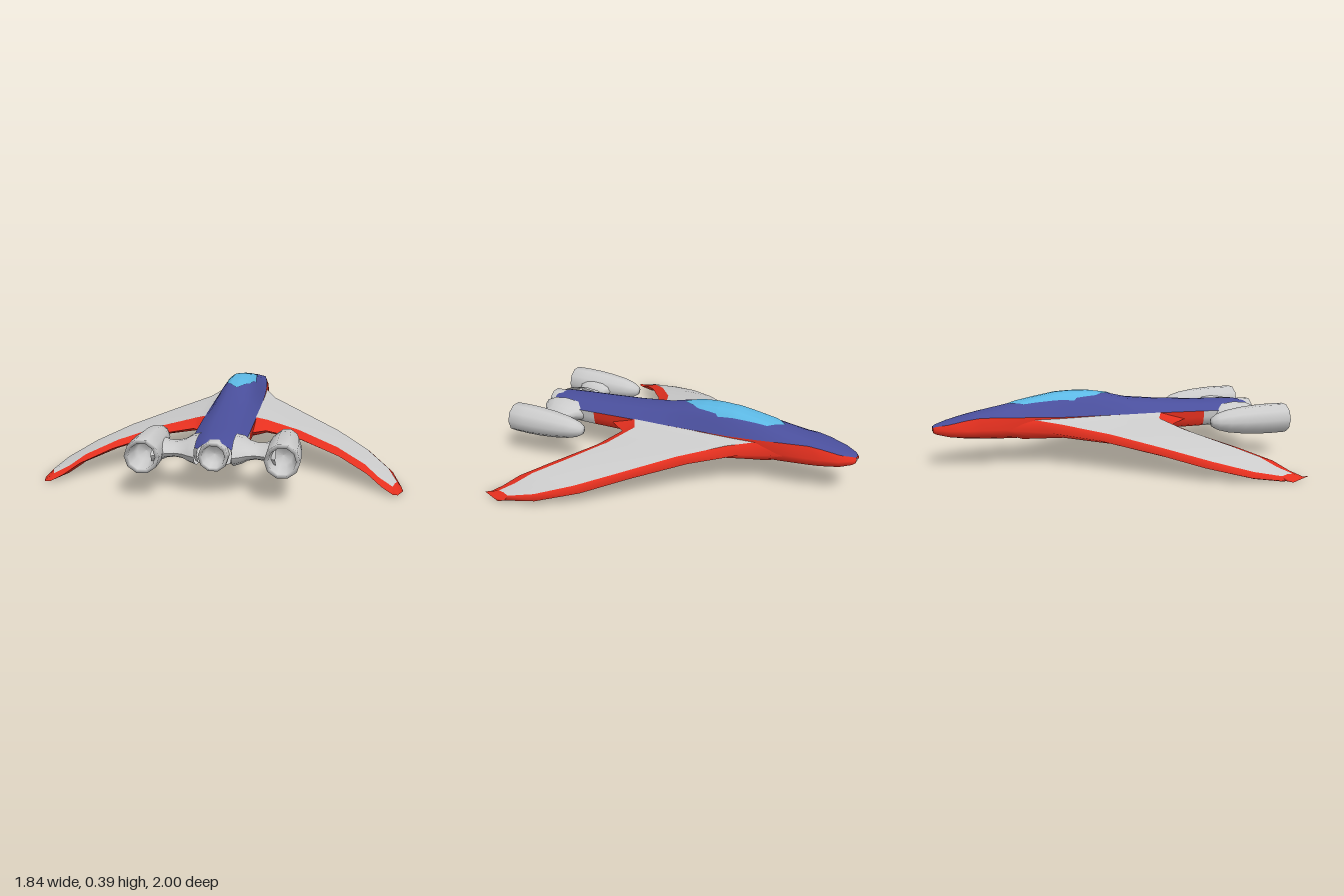
import * as THREE from 'three';

const GREY = 0xcccccc, RED = 0xe5301f, BLUE = 0x4a4f9c, CYAN = 0x5cb8e4;
const material = (color) => new THREE.MeshStandardMaterial({ color, side: THREE.DoubleSide });

// Smooth surface through rows of [x, y, z] points
function loft(rows) {
  const n = rows[0].length, index = [];
  for (let i = 0; i < rows.length - 1; i++) {
    for (let j = 0; j < n - 1; j++) {
      const a = i * n + j, b = a + n;
      index.push(a, b, a + 1, b, b + 1, a + 1);
    }
  }
  const geo = new THREE.BufferGeometry();
  geo.setAttribute('position', new THREE.Float32BufferAttribute(rows.flat(2), 3));
  geo.setIndex(index);
  geo.computeVertexNormals();
  return geo;
}

// Mirrored rows, reversed so the faces still point outwards
const mirror = (rows) => rows.map((r) => r.map(([x, y, z]) => [-x, y, z])).reverse();
const columns = (rows, from, to) => rows.map((r) => r.slice(from, to + 1));

function add(parent, name, geometry, color) {
  const mesh = new THREE.Mesh(geometry, material(color));
  mesh.name = name;
  parent.add(mesh);
  return mesh;
}

function addPair(parent, name, rows, color) {
  add(parent, 'left' + name, loft(rows), color);
  add(parent, 'right' + name, loft(mirror(rows)), color);
}

// Hull stations: z, top, seam y, seam half width, flank y, flank half width, belly half width, belly y
const HULL = [
  [-1.0, 0.235, 0.228, 0.015, 0.22, 0.025, 0.015, 0.207],
  [-0.985, 0.243, 0.236, 0.033, 0.22, 0.05, 0.03, 0.195],
  [-0.92, 0.262, 0.25, 0.07, 0.218, 0.09, 0.05, 0.172],
  [-0.82, 0.285, 0.272, 0.09, 0.217, 0.113, 0.07, 0.16],
  [-0.75, 0.3, 0.282, 0.1, 0.216, 0.12, 0.08, 0.156],
  [-0.6, 0.328, 0.28, 0.122, 0.215, 0.135, 0.09, 0.15],
  [-0.45, 0.358, 0.273, 0.134, 0.21, 0.14, 0.095, 0.147],
  [-0.3, 0.385, 0.266, 0.14, 0.21, 0.14, 0.1, 0.145],
  [-0.2, 0.389, 0.264, 0.142, 0.21, 0.14, 0.1, 0.145],
  [-0.1, 0.385, 0.262, 0.143, 0.21, 0.14, 0.1, 0.145],
  [0.02, 0.366, 0.26, 0.143, 0.21, 0.14, 0.1, 0.145],
  [0.14, 0.336, 0.258, 0.143, 0.21, 0.14, 0.1, 0.145],
  [0.35, 0.313, 0.254, 0.143, 0.21, 0.14, 0.1, 0.145],
  [0.58, 0.297, 0.248, 0.141, 0.21, 0.137, 0.1, 0.145],
  [0.7, 0.292, 0.243, 0.136, 0.21, 0.135, 0.095, 0.145],
  [0.86, 0.284, 0.24, 0.115, 0.21, 0.112, 0.07, 0.148],
  [0.905, 0.277, 0.24, 0.08, 0.21, 0.085, 0.05, 0.155],
];
const REAR = 13; // first station of the grey rear flank

// Rounded top of the hull: [share of half width, share of height]
const CROWN = [[0, 1], [0.34, 0.95], [0.53, 0.78], [0.7, 0.56], [0.9, 0.18], [1, 0]];

function table(list, v, col) {
  let i = 0;
  while (i < list.length - 2 && list[i + 1][0] < v) i++;
  const [a, b] = [list[i], list[i + 1]];
  return THREE.MathUtils.lerp(a[col], b[col], THREE.MathUtils.clamp((v - a[0]) / (b[0] - a[0]), 0, 1));
}
const hullY = (x, z) => {
  const top = table(HULL, z, 1), seam = table(HULL, z, 2);
  return seam + (top - seam) * table(CROWN, Math.abs(x) / table(HULL, z, 3), 1);
};

function buildHull() {
  const hull = new THREE.Group();
  hull.name = 'hull';
  const crown = [...CROWN.slice(1).reverse().map(([t, h]) => [-t, h]), ...CROWN];
  add(hull, 'upperHull', loft(HULL.map(([z, top, ys, w]) =>
    crown.map(([t, h]) => [t * w, ys + (top - ys) * h, z]))), BLUE);
  const flank = HULL.map(([z, , ys, ws, yf, wf, wb, yb]) =>
    [[ws, ys, z], [wf, yf, z], [(wf + wb) / 2 + 0.01, (yf + yb) / 2 - 0.01, z], [wb, yb + 0.008, z]]);
  addPair(hull, 'Flank', flank.slice(0, REAR + 1), RED);
  addPair(hull, 'RearFlank', flank.slice(REAR), GREY);
  add(hull, 'belly', loft(HULL.map(([z, , , , , , w, y]) =>
    [1, 0.5, 0, -0.5, -1].map((t) => [t * w, y + 0.008 * t * t, z]))), GREY);

  // Canopy glass lies just above the hull crown
  const outline = [[-0.58, 0.004], [-0.5, 0.066], [-0.21, 0.09], [-0.195, 0.08], [-0.08, 0.068], [0, 0.026], [0.03, 0.004]];
  const zs = [-0.21, -0.195];
  for (let i = 0; i <= 30; i++) zs.push(-0.58 + i * 0.61 / 30);
  zs.sort((a, b) => a - b);
  add(hull, 'canopy', loft(zs.map((z) => {
    const w = table(outline, z, 1);
    return Array.from({ length: 17 }, (_, k) => {
      const x = w * (k / 8 - 1);
      return [x, hullY(x, z) + 0.005, z];
    });
  })), CYAN);
  return hull;
}

function buildWings() {
  const wings = new THREE.Group();
  wings.name = 'wings';
  // Trailing edge, inner trailing, inner leading, leading edge as [x, z], then top, bottom, edge y
  const stations = [
    [[0.11, 0.5], [0.11, 0.31], [0.11, -0.52], [0.11, -0.7], 0.27, 0.152, 0.212],
    [[0.14, 0.45], [0.14, 0.3], [0.14, -0.44], [0.14, -0.59], 0.257, 0.155, 0.208],
    [[0.2, 0.35], [0.2, 0.265], [0.2, -0.31], [0.2, -0.39], 0.236, 0.163, 0.195],
    [[0.38, 0.41], [0.38, 0.34], [0.38, -0.09], [0.38, -0.16], 0.203, 0.152, 0.174],
    [[0.6, 0.57], [0.59, 0.49], [0.595, 0.14], [0.6, 0.09], 0.155, 0.11, 0.128],
    [[0.74, 0.7], [0.73, 0.62], [0.75, 0.335], [0.77, 0.29], 0.107, 0.068, 0.08],
    [[0.81, 0.764], [0.8, 0.69], [0.855, 0.525], [0.88, 0.505], 0.062, 0.025, 0.036],
    [[0.862, 0.81], [0.865, 0.75], [0.892, 0.67], [0.913, 0.68], 0.036, 0.008, 0.015],
  ];
  const rows = stations.map(([te, ti, li, le, top, bot, edge]) => {
    const mid = [(ti[0] + li[0]) / 2, (ti[1] + li[1]) / 2];
    return [[te, edge], [ti, top], [mid, top + 0.005], [li, top], [le, edge],
      [li, bot], [mid, bot - 0.003], [ti, bot], [te, edge]].map(([p, y]) => [p[0], y, p[1]]);
  });
  const tip = [0, 0.35, 0.5, 0.65, 1, 0.65, 0.5, 0.35, 0]
    .map((t) => [0.885 + 0.035 * t, 0.02 - 0.015 * t, 0.83 - 0.11 * t]);
  addPair(wings, 'WingTop', columns(rows, 1, 3), GREY);
  addPair(wings, 'WingUnderside', columns(rows, 5, 7), GREY);
  addPair(wings, 'LeadingEdge', columns(rows, 3, 5), RED);
  addPair(wings, 'TrailingEdgeTop', columns(rows, 0, 1), RED);
  addPair(wings, 'TrailingEdgeUnderside', columns(rows, 7, 8), RED);
  addPair(wings, 'WingTip', [rows[rows.length - 1], tip], RED);
  return wings;
}

// Turned part along z from [radius, z] points
const turned = (profile) => new THREE.LatheGeometry(
  profile.map(([r, z]) => new THREE.Vector2(r, z)), 10, Math.PI / 10).rotateX(Math.PI / 2);

function buildEngines() {
  const engines = new THREE.Group();
  engines.name = 'engines';
  // Side nacelles with hollow nozzles
  for (const side of [1, -1]) {
    const nacelle = add(engines, side > 0 ? 'leftNacelle' : 'rightNacelle', turned([
      [0, 0.53], [0.026, 0.535], [0.047, 0.57], [0.064, 0.63], [0.077, 0.72], [0.085, 0.82],
      [0.087, 0.9], [0.086, 1], [0.066, 1], [0.056, 0.93], [0.045, 0.9], [0, 0.89]]), GREY);
    nacelle.position.set(side * 0.335, 0.22, 0);
  }
  // Centre nozzle
  add(engines, 'centreNozzle', turned([
    [0.06, 0.82], [0.074, 0.88], [0.074, 0.94], [0.057, 0.942], [0.046, 0.89], [0, 0.88]]), GREY)
    .position.y = 0.212;
  // Waisted pylons: x, centre z, half length, half height
  const pylon = [[0.09, 0.8, 0.16, 0.07], [0.13, 0.79, 0.145, 0.06], [0.16, 0.8, 0.11, 0.043],
    [0.2, 0.81, 0.092, 0.035], [0.24, 0.815, 0.097, 0.038], [0.27, 0.82, 0.12, 0.05], [0.3, 0.82, 0.14, 0.06]]
    .map(([x, z, l, h]) => Array.from({ length: 13 }, (_, k) => {
      const a = k / 12 * Math.PI * 2;
      return [x, 0.213 + h * Math.sin(a), z + l * Math.cos(a)];
    }));
  addPair(engines, 'Pylon', pylon, GREY);
  return engines;
}

export function createModel() {
  const model = new THREE.Group();
  model.name = 'spacecraft';
  model.add(buildHull(), buildWings(), buildEngines());
  return model;
}
